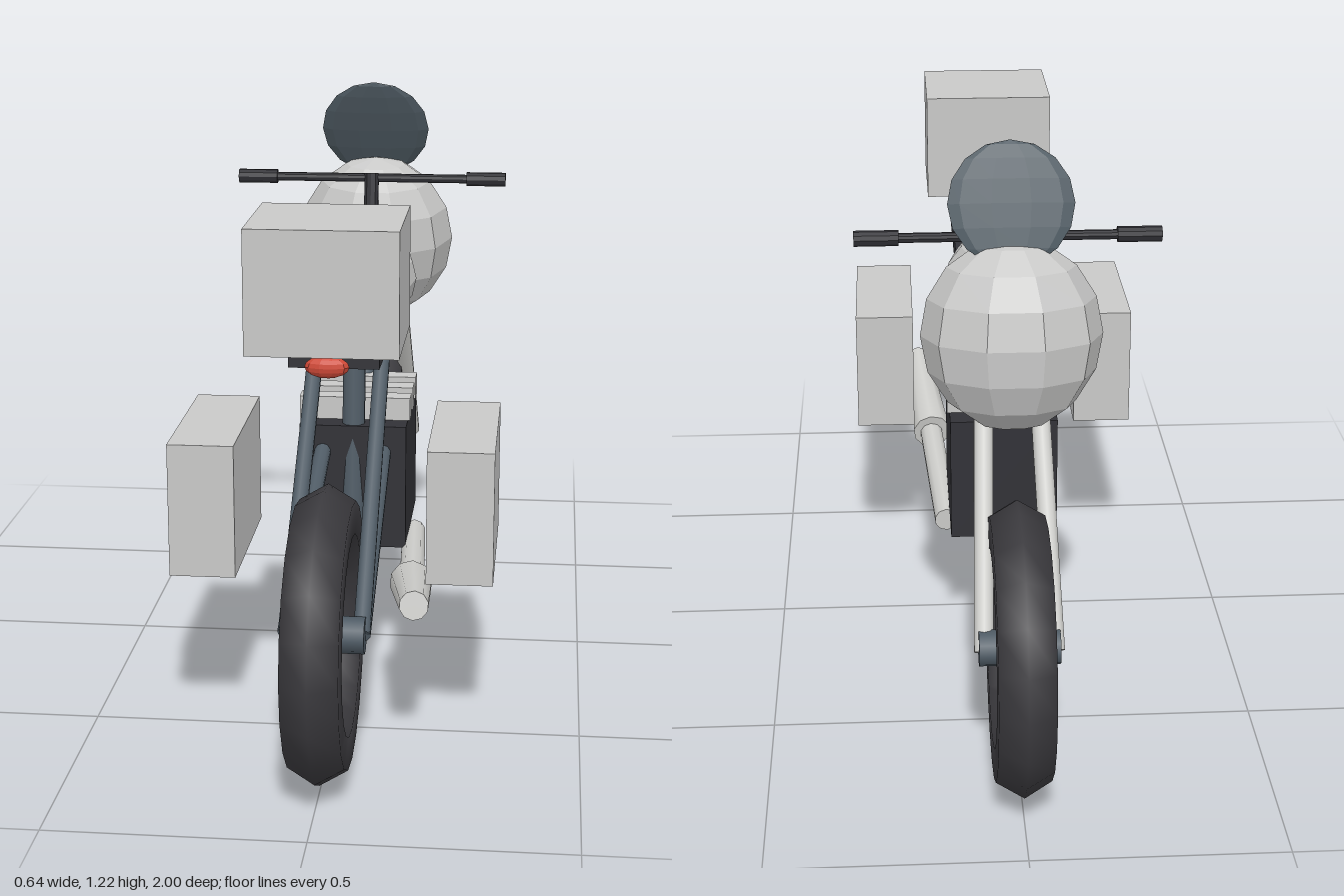
import * as THREE from 'three';

const mat = (name, color, flatShading = false) => {
  const m = new THREE.MeshStandardMaterial({ color, flatShading });
  m.name = name;
  return m;
};

export function createModel() {
  const paint = mat('light grey paint', 0xc9c9c8, true);
  const chrome = mat('light metal', 0xcfcfcc);
  const rubber = mat('tyre rubber', 0x3b3a3e);
  const black = mat('black', 0x323237, true);
  const steel = mat('slate frame', 0x505c66);
  const glass = mat('slate screen', 0x4e5a62, true);
  const red = mat('red lamp', 0xd04a38, true);

  const bike = new THREE.Group();
  bike.name = 'motorcycle';

  const add = (name, geo, material, x, y, z, parent = bike) => {
    const m = new THREE.Mesh(geo, material);
    m.name = name;
    m.position.set(x, y, z);
    parent.add(m);
    return m;
  };
  const box = (name, w, h, d, material, x, y, z) =>
    add(name, new THREE.BoxGeometry(w, h, d), material, x, y, z);

  // Faceted ellipsoid, tilted about x
  const blob = (name, rx, ry, rz, material, x, y, z, tilt = 0) => {
    const geo = new THREE.SphereGeometry(1, 10, 8).scale(rx, ry, rz);
    const m = add(name, geo, material, x, y, z);
    m.rotation.x = tilt;
    return m;
  };

  // Round bar between two points, radius r0 at a and r1 at b
  const bar = (name, a, b, r0, material, r1 = r0, parent = bike) => {
    const p = new THREE.Vector3(...a), q = new THREE.Vector3(...b);
    const dir = q.clone().sub(p);
    const mid = p.clone().add(q).multiplyScalar(0.5);
    const geo = new THREE.CylinderGeometry(r1, r0, dir.length(), 10);
    const m = add(name, geo, material, mid.x, mid.y, mid.z, parent);
    m.quaternion.setFromUnitVectors(new THREE.Vector3(0, 1, 0), dir.normalize());
    return m;
  };

  // Wheels: hexagonal-section tyre, five spokes, hub
  for (const [name, z] of [['rearWheel', 0.71], ['frontWheel', -0.707]]) {
    const wheel = new THREE.Group();
    wheel.name = name;
    wheel.position.set(0, 0.293, z);
    bike.add(wheel);
    const tyre = add('tyre', new THREE.TorusGeometry(0.2275, 0.063, 6, 20), rubber, 0, 0, 0, wheel);
    tyre.rotation.y = Math.PI / 2;
    for (let i = 0; i < 5; i++) {
      const t = (i * Math.PI * 2) / 5;
      bar('spoke', [0, 0, 0], [0, 0.18 * Math.sin(t), -0.18 * Math.cos(t)], 0.011, chrome, 0.011, wheel);
    }
    bar('hub', [-0.08, 0, 0], [0.08, 0, 0], 0.036, steel, 0.036, wheel);
  }

  // Frame tubes
  bar('seatTube', [0, 0.33, 0.14], [0, 0.71, 0.1], 0.025, steel);
  bar('topTube', [0, 0.69, 0.12], [0, 0.87, -0.29], 0.025, steel);
  bar('downTube', [0, 0.4, 0], [0, 0.83, -0.3], 0.025, steel);
  for (const s of [-1, 1]) {
    bar('swingarm', [s * 0.065, 0.5, 0.1], [s * 0.073, 0.295, 0.71], 0.018, steel);
    bar('rearStay', [s * 0.07, 0.78, 0.16], [s * 0.073, 0.295, 0.71], 0.017, steel);
    bar('forkLeg', [s * 0.07, 0.285, -0.71], [s * 0.05, 0.915, -0.285], 0.02, chrome);
  }

  // Engine with cooling ribs
  box('engine', 0.232, 0.275, 0.325, black, 0, 0.407, -0.017);
  for (const z of [0.072, -0.015, -0.105])
    box('coolingRib', 0.242, 0.05, 0.045, paint, 0, 0.57, z);

  // Exhaust on one side
  bar('exhaustPipe', [0.122, 0.243, -0.04], [0.148, 0.277, 0.4], 0.027, chrome);
  bar('muffler', [0.145, 0.278, 0.375], [0.172, 0.35, 0.69], 0.045, chrome, 0.029);

  // Bodywork
  blob('fuelTank', 0.122, 0.106, 0.232, paint, 0, 0.828, -0.068, 0.1);
  blob('frontFairing', 0.182, 0.195, 0.153, paint, 0, 0.848, -0.44, 0.12);
  blob('windscreen', 0.125, 0.125, 0.012, glass, 0, 1.11, -0.415, 0.41);
  const seat = box('seat', 0.18, 0.055, 0.455, black, 0, 0.791, 0.295);
  seat.rotation.x = -0.045;
  blob('tailCowl', 0.07, 0.024, 0.125, paint, 0, 0.833, 0.53, -0.08);
  blob('tailLight', 0.043, 0.022, 0.018, red, 0, 0.808, 0.64);

  // Handlebar, stem and grips
  bar('handlebar', [-0.3, 1.01, -0.315], [0.3, 1.01, -0.315], 0.01, black);
  bar('steeringStem', [0, 0.85, -0.275], [0, 1.02, -0.315], 0.017, black);
  for (const s of [-1, 1])
    bar('grip', [s * 0.22, 1.01, -0.315], [s * 0.31, 1.01, -0.315], 0.016, black);

  // Luggage
  box('topCase', 0.29, 0.24, 0.27, paint, 0, 0.97, 0.602);
  for (const s of [-1, 1])
    box('sideCase', 0.132, 0.272, 0.365, paint, s * 0.255, 0.496, 0.417);

  return bike;
}
